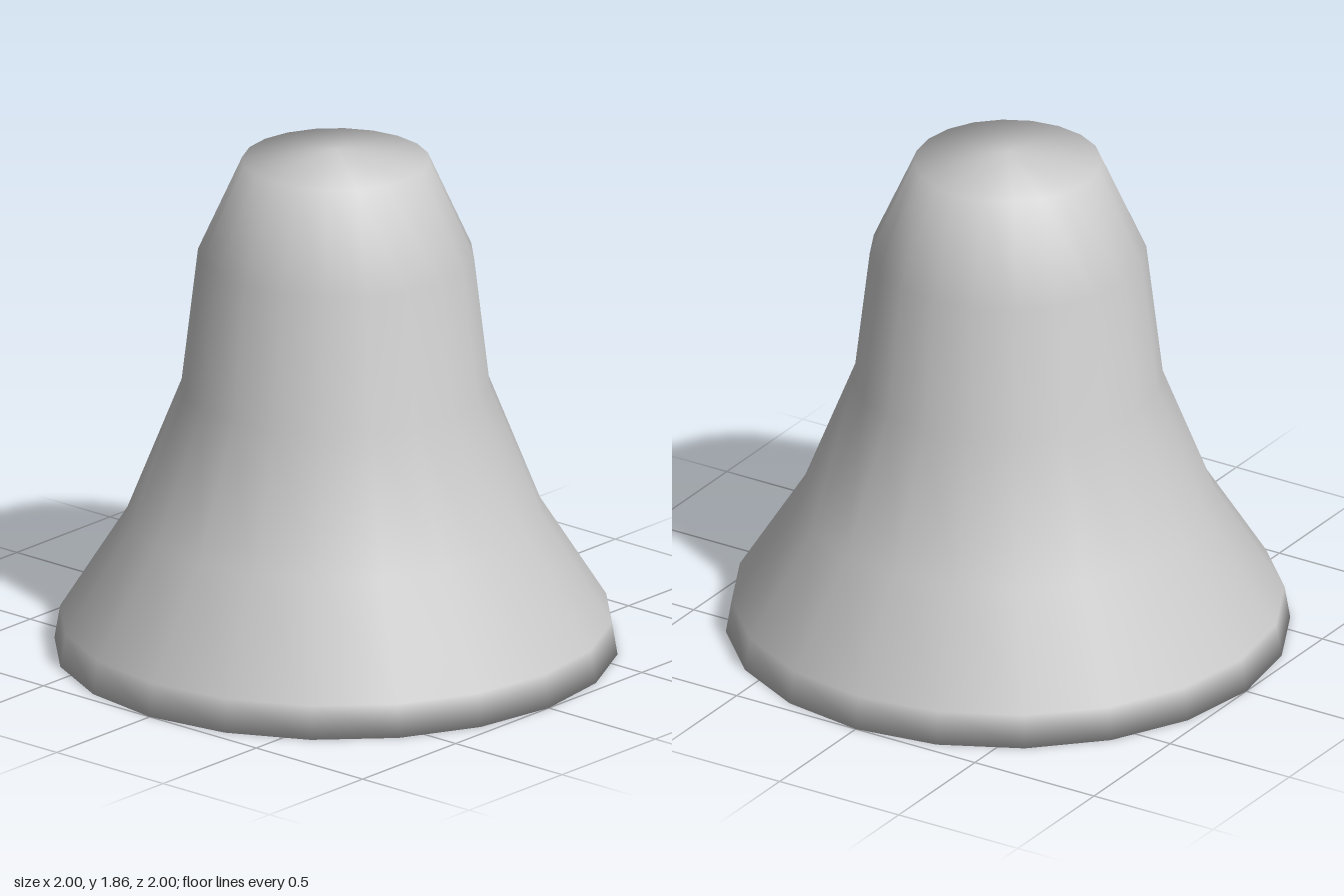
import * as THREE from 'three';
import { mergeVertices } from 'three/addons/utils/BufferGeometryUtils.js';

export function createModel() {
  const group = new THREE.Group();
  group.name = 'bell';

  const grey = new THREE.MeshStandardMaterial({ color: 0xcccccc });
  grey.name = 'light grey';

  // Closed shell profile [radius, height]: down the inside, over the thick rim, up the outside
  const inner = [[0, 1.73], [0.25, 1.715], [0.367, 1.44], [0.422, 0.955], [0.625, 0.44], [0.86, 0.07], [0.87, 0]];
  const outer = [[1, 0], [0.98, 0.12], [0.74, 0.5], [0.548, 0.985], [0.49, 1.475], [0.333, 1.825], [0, 1.862]];
  const profile = [...inner, ...outer].map(([r, y]) => new THREE.Vector2(r, y));

  // Weld the seam and poles, then smooth the normals over the whole shell
  const lathe = new THREE.LatheGeometry(profile, 20);
  lathe.deleteAttribute('uv');
  lathe.deleteAttribute('normal');
  const geometry = mergeVertices(lathe, 1e-4);
  geometry.computeVertexNormals();

  const shell = new THREE.Mesh(geometry, grey);
  shell.name = 'bellShell';
  group.add(shell);

  return group;
}
